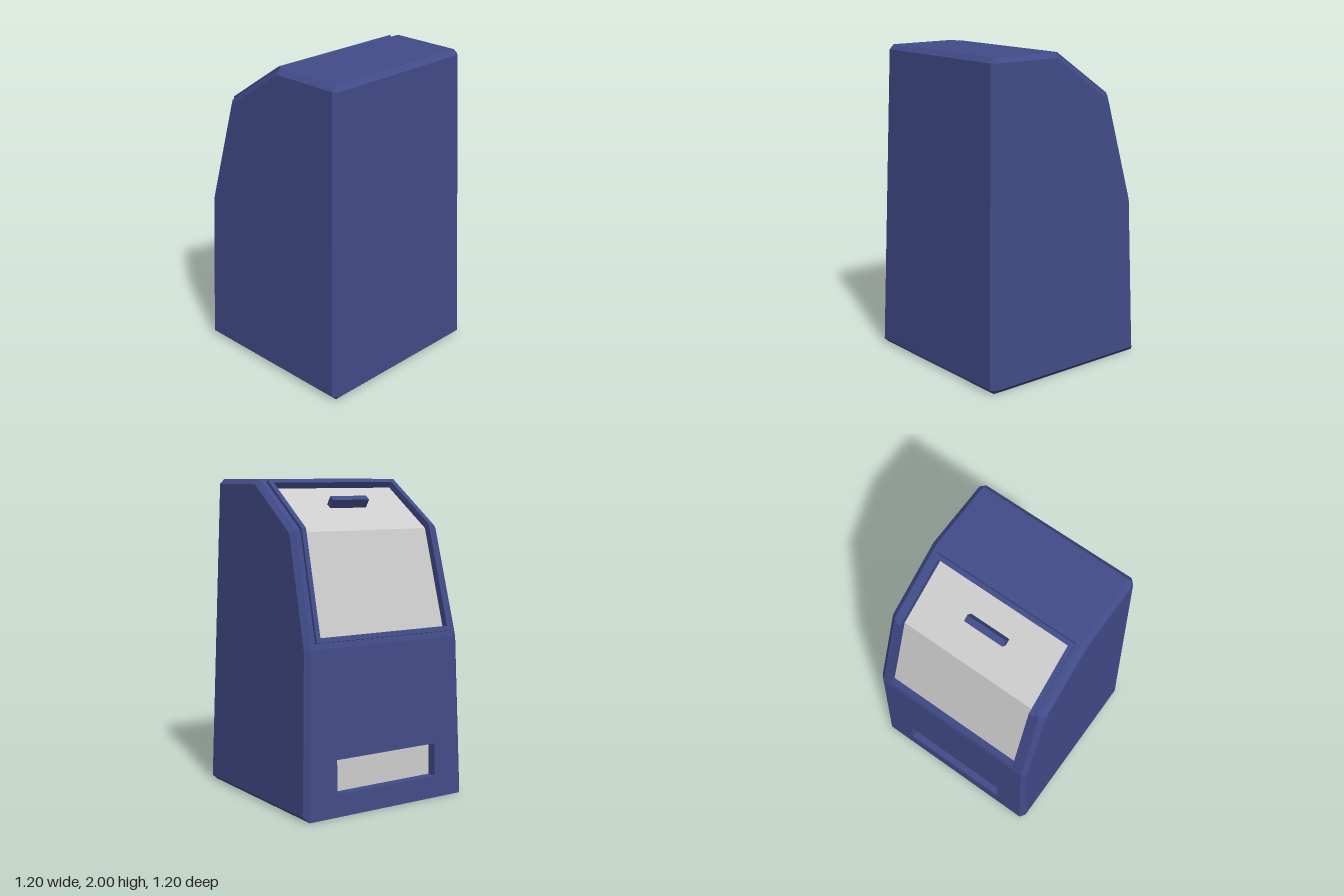
import * as THREE from 'three';

const blue = new THREE.MeshStandardMaterial({ color: 0x414b88, flatShading: true });
const grey = new THREE.MeshStandardMaterial({ color: 0xcccccc, flatShading: true });

// Flat-shaded mesh from convex polygons, each a list of [x, y, z]
function polyMesh(name, polys, material) {
  const pos = [];
  const tri = new THREE.Triangle();
  for (const p of polys) {
    for (let i = 1; i + 1 < p.length; i++) {
      tri.a.set(...p[0]); tri.b.set(...p[i]); tri.c.set(...p[i + 1]);
      if (tri.getArea() > 1e-8) pos.push(...p[0], ...p[i], ...p[i + 1]);
    }
  }
  const geometry = new THREE.BufferGeometry();
  geometry.setAttribute('position', new THREE.Float32BufferAttribute(pos, 3));
  geometry.computeVertexNormals();
  const mesh = new THREE.Mesh(geometry, material);
  mesh.name = name;
  return mesh;
}

// Quads joining successive closed loops of equal length
function loft(loops) {
  const quads = [];
  for (let k = 0; k + 1 < loops.length; k++) {
    const a = loops[k], b = loops[k + 1];
    a.forEach((p, i) => {
      const j = (i + 1) % a.length;
      quads.push([p, a[j], b[j], b[i]]);
    });
  }
  return quads;
}

// Folded line of the sloping face: position, mitred normal and frame half-width
const path = [
  { p: [-0.56, 1.055], n: [-0.963, 0.268], w: 0.505 },
  { p: [-0.378, 1.708], n: [-0.862, 0.617], w: 0.49 },
  { p: [0.022, 1.981], n: [-0.564, 0.826], w: 0.48 },
];

// Point on the folded line, raised along the normal and moved in from the ends
function onPath(k, raise, inset) {
  const { p, n } = path[k];
  const s = (1 - k) * inset; // +inset at the lower end, 0 at the fold, -inset at the top
  return [p[0] + n[0] * raise + n[1] * s, p[1] + n[1] * raise - n[0] * s];
}

// Closed loop around the sloping face
function frameLoop(raise, inset) {
  const at = (k, side) => [...onPath(k, raise, inset), side * (path[k].w - inset)];
  return [at(0, -1), at(0, 1), at(1, 1), at(2, 1), at(2, -1), at(1, -1)];
}

const slot = { low: 0.14, high: 0.35, w: 0.37, depth: 0.06 };
const frontX = (y) => -0.6 + 0.03 * y / 1.02;

function makeBody() {
  const bevel = 0.03;
  const half = (y) => 0.6 - 0.03 * y;
  const slopePoint = (k) => ({
    o: onPath(k, 0, 0.015), i: onPath(k, -bevel, 0.015), hole: path[k].w - 0.015,
  });
  const slotPoint = (y) => ({ o: [frontX(y), y], i: [frontX(y) + bevel, y], hole: slot.w });
  // Profile: outer outline, bevelled inner outline and half-width of any opening
  const profile = [
    { o: [0.6, 0.03], i: [0.567, 0.03] },
    { o: [0.54, 1.97], i: [0.51, 1.97] },
    { o: [0.51, 2], i: [0.51, 1.97] },
    { o: [0.05, 2], i: [0.06, 1.97] },
    slopePoint(2), slopePoint(1), slopePoint(0),
    { o: [-0.57, 1.02], i: [-0.54, 1.01] },
    slotPoint(slot.high), slotPoint(slot.low),
    { o: [-0.6, 0], i: [-0.57, 0.03] },
    { o: [0.57, 0], i: [0.567, 0.03] },
  ];
  const outer = (q, s) => [...q.o, s * (half(q.o[1]) - bevel)];
  const inner = (q, s) => [...q.i, s * half(q.i[1])];
  const polys = [];
  profile.forEach((a, k) => {
    const b = profile[(k + 1) % profile.length];
    // outer strip, split in two where there is an opening
    if (a.hole && b.hole) {
      polys.push([outer(a, 1), [...a.o, a.hole], [...b.o, b.hole], outer(b, 1)]);
      polys.push([[...a.o, -a.hole], outer(a, -1), outer(b, -1), [...b.o, -b.hole]]);
    } else {
      polys.push([outer(a, 1), outer(a, -1), outer(b, -1), outer(b, 1)]);
    }
    // bevels
    polys.push([outer(a, 1), outer(b, 1), inner(b, 1), inner(a, 1)]);
    polys.push([inner(a, -1), inner(b, -1), outer(b, -1), outer(a, -1)]);
  });
  // flat sides
  polys.push(profile.map((q) => inner(q, 1)));
  polys.push(profile.map((q) => inner(q, -1)).reverse());
  return polyMesh('body', polys, blue);
}

export function createModel() {
  const model = new THREE.Group();
  model.name = 'kiosk';
  model.add(makeBody());

  // Raised frame around the folded panel
  const rim = frameLoop(-0.025, 0.03);
  model.add(polyMesh('panelFrame', loft([
    frameLoop(-0.005, 0), frameLoop(0.02, 0), frameLoop(0.02, 0.03), rim,
  ]), blue));

  // Folded panel: lower and upper halves
  const [a, b, c, d, e, f] = rim;
  model.add(polyMesh('lowerPanel', [[a, b, c, f]], grey));
  model.add(polyMesh('upperPanel', [[f, c, d, e]], grey));

  // Handle on the upper panel
  const handle = new THREE.Mesh(new THREE.BoxGeometry(0.042, 0.0625, 0.27), blue);
  handle.name = 'handle';
  handle.position.set(-0.165, 1.86, 0);
  handle.rotation.z = 0.6;
  model.add(handle);

  // Recessed tray low on the sloping side
  const slotLoop = (depth) => [[slot.low, -1], [slot.low, 1], [slot.high, 1], [slot.high, -1]]
    .map(([y, s]) => [frontX(y) + depth, y, s * slot.w]);
  const back = slotLoop(slot.depth);
  model.add(polyMesh('traySurround', loft([slotLoop(0), back]), blue));
  model.add(polyMesh('trayBack', [back], grey));

  return model;
}
